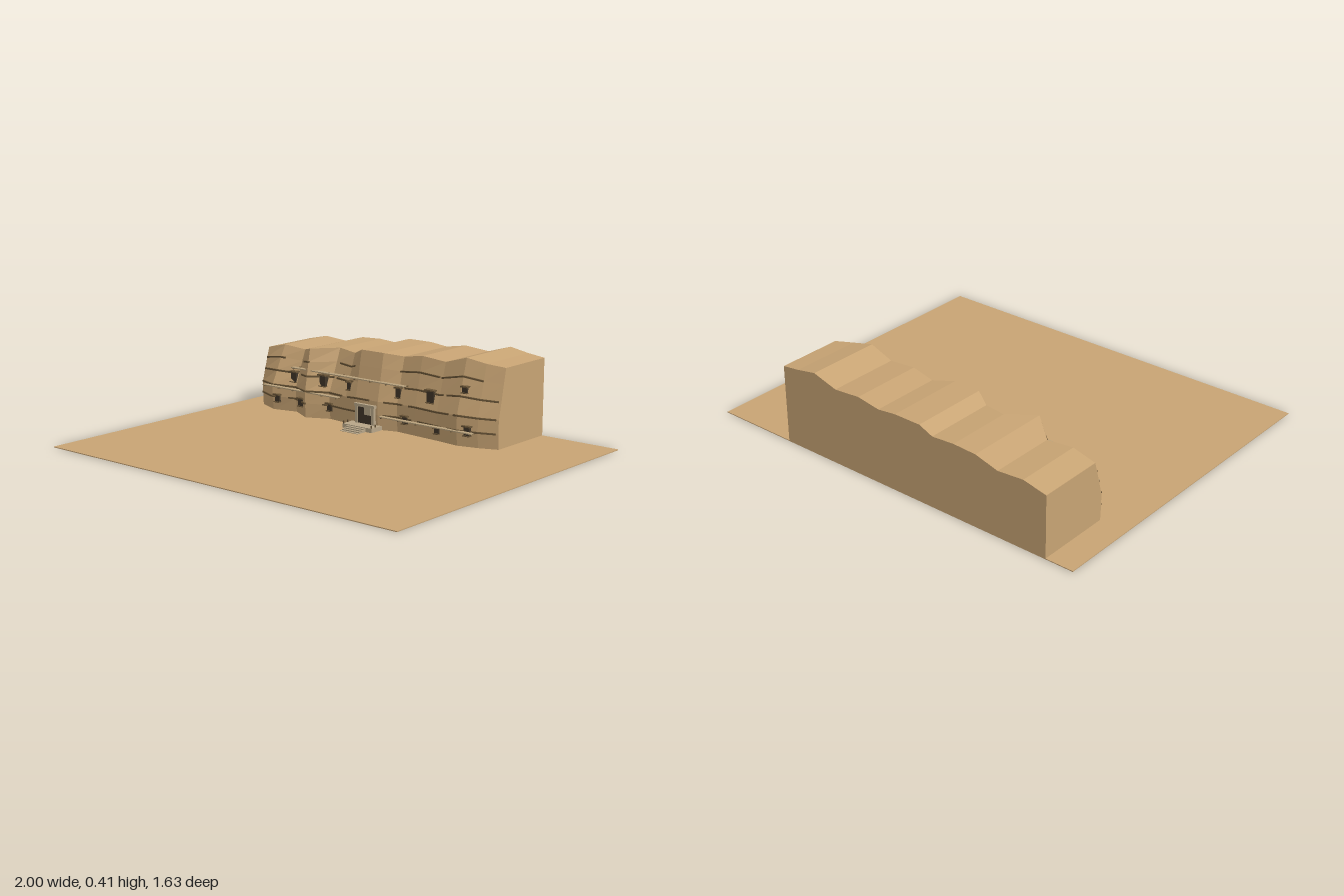
import * as THREE from 'three';

const mat = (name, color, side = THREE.FrontSide) => {
  const m = new THREE.MeshStandardMaterial({ color, side, flatShading: true });
  m.name = name;
  return m;
};

// Cliff columns: x, front z at the foot, front z at the rim, rim height
const COLS = [
  [-0.865, -0.455, -0.5, 0.297], [-0.75, -0.405, -0.495, 0.323], [-0.62, -0.435, -0.5, 0.313],
  [-0.505, -0.37, -0.405, 0.345], [-0.39, -0.425, -0.5, 0.35], [-0.275, -0.41, -0.475, 0.342],
  [-0.205, -0.4, -0.44, 0.372], [-0.07, -0.4, -0.44, 0.372], [0.025, -0.43, -0.48, 0.361],
  [0.14, -0.42, -0.47, 0.38], [0.275, -0.41, -0.47, 0.369], [0.4, -0.395, -0.46, 0.406],
  [0.5, -0.42, -0.475, 0.388], [0.59, -0.455, -0.5, 0.377],
];
// Strata rows: height, share of the way from foot z to rim z
const ROWS = [[0, 0], [0.075, -0.1], [0.137, -0.08], [0.21, 0.3], [0.28, 0.65], [null, 1]];
const BACK = -0.815;

function columnAt(x) {
  let i = 0;
  while (i < COLS.length - 2 && x > COLS[i + 1][0]) i++;
  const a = COLS[i], b = COLS[i + 1], t = (x - a[0]) / (b[0] - a[0]);
  return a.map((v, k) => v + (b[k] - v) * t);
}

function wallPoint(col, row) {
  const [x, zb, zt, top] = col, [h, f] = ROWS[row];
  const y = h === null ? top : h + (top - 0.345) * 0.9 * h * h / 0.1;
  return [x, y, zb + (zt - zb) * f];
}

function wallZ(x, y) {
  const pts = ROWS.map((_, r) => wallPoint(columnAt(x), r));
  let r = 0;
  while (r < pts.length - 2 && y > pts[r + 1][1]) r++;
  const t = (y - pts[r][1]) / (pts[r + 1][1] - pts[r][1]);
  return pts[r][2] + (pts[r + 1][2] - pts[r][2]) * t;
}

// Skin closed cross-sections that run from left to right, with capped ends
function loft(rings) {
  const pos = [], n = rings[0].length;
  const tri = (...p) => p.forEach((v) => pos.push(...v));
  for (let i = 0; i < rings.length - 1; i++) {
    for (let k = 0; k < n; k++) {
      const l = (k + 1) % n;
      const a = rings[i][k], b = rings[i + 1][k], c = rings[i + 1][l], d = rings[i][l];
      tri(a, b, c);
      tri(a, c, d);
    }
  }
  const first = rings[0], last = rings[rings.length - 1];
  for (let k = 1; k < n - 1; k++) {
    tri(first[0], first[k], first[k + 1]);
    tri(last[0], last[k + 1], last[k]);
  }
  const g = new THREE.BufferGeometry();
  g.setAttribute('position', new THREE.Float32BufferAttribute(pos, 3));
  g.computeVertexNormals();
  return g;
}

export function createModel() {
  const model = new THREE.Group();
  model.name = 'cliffDwelling';
  const sand = mat('sandstone', 0xc8a474, THREE.DoubleSide);
  const dark = mat('darkOpening', 0x3f3528);
  const shade = mat('darkStrata', 0x6b5638);
  const wood = mat('paleTimber', 0xb9a27c);
  const stone = mat('paleStone', 0xb8a688);

  const add = (name, geo, material, parent = model) => {
    const m = new THREE.Mesh(geo, material);
    m.name = name;
    parent.add(m);
    return m;
  };
  const box = (name, w, h, d, x, y, z, material, parent) => {
    const m = add(name, new THREE.BoxGeometry(w, h, d), material, parent);
    m.position.set(x, y, z);
    return m;
  };
  const group = (name) => {
    const g = new THREE.Group();
    g.name = name;
    model.add(g);
    return g;
  };

  // Ground
  box('ground', 2, 0.004, 1.63, 0, 0.002, 0, sand);

  // Cliff block
  add('cliff', loft(COLS.map((c) => [
    ...ROWS.map((_, r) => wallPoint(c, r)), [c[0], c[3], BACK], [c[0], 0, BACK],
  ])), sand);

  // Thin broken strata ledges: row, start x, end x
  const strata = group('strata');
  const spans = [
    [1, -0.86, -0.72], [1, -0.66, -0.5], [1, -0.42, -0.2], [1, -0.04, 0.12], [1, 0.16, 0.3], [1, 0.34, 0.58],
    [2, -0.86, -0.3], [2, -0.26, -0.12], [2, -0.04, 0.06], [2, 0.1, 0.35], [2, 0.38, 0.58],
    [3, -0.86, -0.66], [3, -0.58, -0.38], [3, -0.36, -0.24], [3, 0.06, 0.3], [3, 0.32, 0.58],
    [4, -0.86, -0.72], [4, -0.58, -0.5], [4, -0.36, -0.24], [4, 0.02, 0.26], [4, 0.27, 0.5],
  ];
  for (const [row, x0, x1] of spans) {
    const xs = [x0, ...COLS.map((c) => c[0]).filter((x) => x > x0 && x < x1), x1];
    add('ledge', loft(xs.map((x) => {
      const [, y, z] = wallPoint(columnAt(x), row);
      return [[x, y - 0.004, z - 0.01], [x, y - 0.004, z + 0.007],
        [x, y + 0.004, z + 0.007], [x, y + 0.004, z - 0.01]];
    })), shade, strata);
  }

  // Windows with timber lintels and sills: x, y, width, height
  const windows = group('windows');
  const openings = [
    [-0.72, 0.066, 0.028, 0.038], [-0.548, 0.072, 0.03, 0.04], [-0.385, 0.066, 0.028, 0.038],
    [0.08, 0.072, 0.028, 0.038], [0.28, 0.058, 0.026, 0.036], [0.452, 0.08, 0.032, 0.045],
    [-0.642, 0.18, 0.034, 0.052], [-0.43, 0.193, 0.038, 0.056], [-0.262, 0.19, 0.02, 0.04],
    [0.025, 0.193, 0.026, 0.05], [0.225, 0.205, 0.042, 0.06], [0.42, 0.265, 0.026, 0.03],
  ];
  for (const [x, y, w, h] of openings) {
    const z = wallZ(x, y);
    box('windowOpening', w, h, 0.03, x, y, z - 0.006, dark, windows);
    box('windowLintel', w + 0.014, 0.007, 0.036, x, y + h / 2, z, shade, windows);
    box('windowSill', w + 0.006, 0.004, 0.036, x, y - h / 2, z - 0.002, shade, windows);
  }

  // Timber walkways on beams: start x, end x, y, z
  const walkways = group('walkways');
  for (const [x0, x1, y, z] of [
    [-0.62, 0.085, 0.236, -0.406], [-0.795, -0.305, 0.13, -0.383], [-0.04, 0.495, 0.077, -0.378],
  ]) {
    box('walkwayPlank', x1 - x0, 0.005, 0.025, (x0 + x1) / 2, y, z, wood, walkways);
    const n = Math.round((x1 - x0) / 0.1);
    for (let i = 0; i <= n; i++) {
      const x = x0 + 0.01 + (x1 - x0 - 0.02) * i / n;
      box('walkwayBeam', 0.006, 0.005, 0.07, x, y - 0.005, z - 0.026, shade, walkways);
    }
  }

  // Doorway with stone frame
  const door = group('doorway');
  box('doorOpening', 0.085, 0.085, 0.03, -0.14, 0.066, -0.402, dark, door);
  for (const s of [-1, 1]) {
    box('doorJamb', 0.016, 0.09, 0.036, -0.14 + s * 0.05, 0.068, -0.399, stone, door);
  }
  box('doorLintel', 0.124, 0.014, 0.04, -0.14, 0.114, -0.399, stone, door);
  box('doorPanel', 0.04, 0.036, 0.006, -0.122, 0.088, -0.386, stone, door);

  // Entrance landing and steps
  const steps = group('entranceSteps');
  box('landing', 0.18, 0.025, 0.085, -0.14, 0.0125, -0.3675, stone, steps);
  for (let i = 0; i < 4; i++) {
    const h = 0.021 - i * 0.005;
    box('step', 0.11, h, 0.015, -0.14, h / 2, -0.3175 + i * 0.015, stone, steps);
  }
  for (const s of [-1, 1]) {
    for (const z of [-0.33, -0.36]) box('post', 0.005, 0.014, 0.005, -0.14 + s * 0.085, 0.031, z, shade, steps);
  }
  return model;
}
